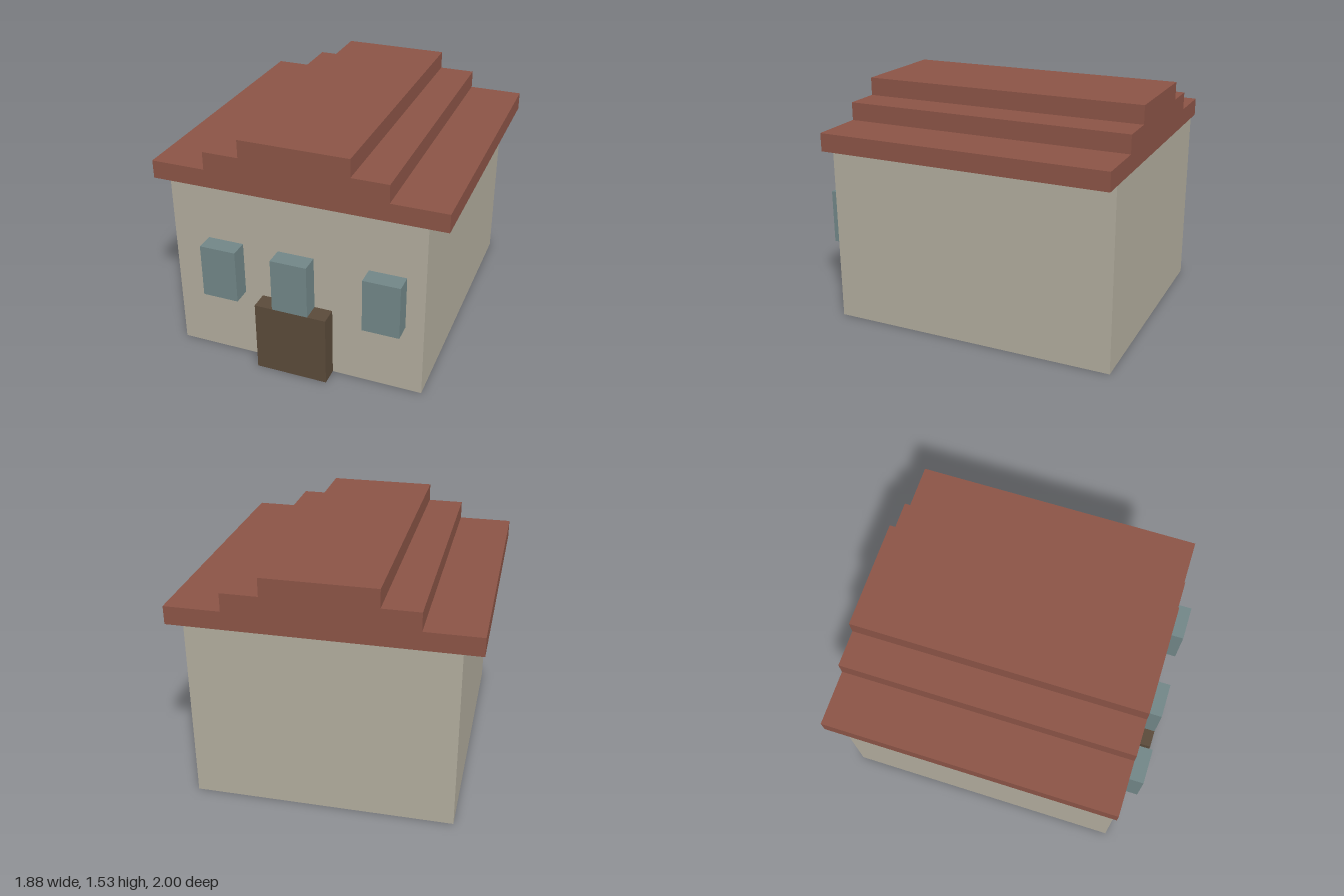
import * as THREE from 'three';

const U = 2 / 17; // one building block

export function createModel() {
  const house = new THREE.Group();
  house.name = 'house';

  const material = (name, color) => {
    const m = new THREE.MeshStandardMaterial({ color });
    m.name = name;
    return m;
  };
  const plaster = material('plaster', 0xb1ac9d);
  const tile = material('roof tile', 0x8b5446);
  const glass = material('window glass', 0x718687);
  const wood = material('door wood', 0x5a4a3a);

  // Box given by its bounds in blocks; z is counted from the back wall
  const block = (name, mat, [x0, x1], [y0, y1], [z0, z1]) => {
    const geometry = new THREE.BoxGeometry((x1 - x0) * U, (y1 - y0) * U, (z1 - z0) * U);
    const mesh = new THREE.Mesh(geometry, mat);
    mesh.name = name;
    mesh.position.set(((x0 + x1) / 2) * U, ((y0 + y1) / 2) * U, ((z0 + z1) / 2) * U - 1);
    house.add(mesh);
  };

  // Main body
  block('walls', plaster, [-7, 7], [0, 10], [0, 16]);

  // Door and windows stand one block proud of the front wall
  block('door', wood, [-2, 2], [0, 4], [16, 17]);
  block('rightWindow', glass, [-5, -3], [4, 7], [16, 17]);
  block('middleWindow', glass, [-1, 1], [4, 7], [16, 17]);
  block('leftWindow', glass, [4, 6], [4, 7], [16, 17]);

  // Stepped roof, one profile run from back to front
  const half = [[8, 10], [8, 11], [5, 11], [5, 12], [3, 12], [3, 13]];
  const outline = [...half, ...half.map(([x, y]) => [-x, y]).reverse()];
  const profile = new THREE.Shape(outline.map(([x, y]) => new THREE.Vector2(x * U, y * U)));
  const roof = new THREE.Mesh(
    new THREE.ExtrudeGeometry(profile, { depth: 16 * U, bevelEnabled: false }),
    tile
  );
  roof.name = 'steppedRoof';
  roof.position.z = -1;
  house.add(roof);

  return house;
}
